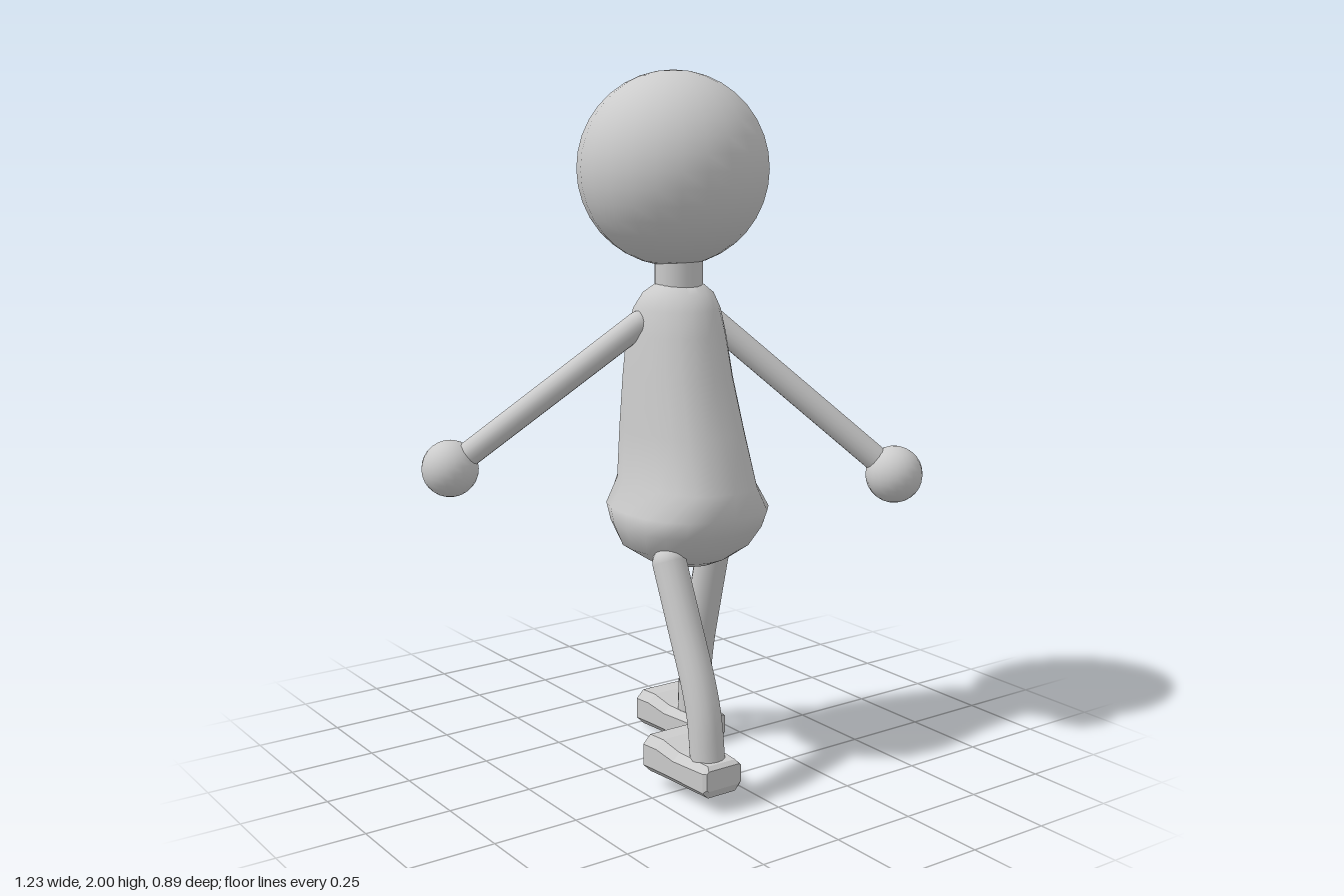
import * as THREE from 'three';

const grey = new THREE.MeshStandardMaterial({ color: 0xcccccc });
const flat = new THREE.MeshStandardMaterial({ color: 0xcccccc, flatShading: true });

// Skin closed rings (each counter-clockwise seen from the end they advance towards) with end caps
function loft(rings) {
  const n = rings[0].length;
  const pos = rings.flat(2);
  const idx = [];
  for (let r = 0; r < rings.length - 1; r++) {
    for (let i = 0; i < n; i++) {
      const a = r * n + i, b = r * n + (i + 1) % n;
      idx.push(a, b, b + n, a, b + n, a + n);
    }
  }
  const last = (rings.length - 1) * n;
  for (let i = 1; i < n - 1; i++) {
    idx.push(0, i + 1, i, last, last + i, last + i + 1);
  }
  const g = new THREE.BufferGeometry();
  g.setAttribute('position', new THREE.Float32BufferAttribute(pos, 3));
  g.setIndex(idx);
  g.computeVertexNormals();
  return g;
}

// Pear-shaped torso from rounded cross-sections
function torsoGeometry() {
  // y, centre x, half width, back z, front z, squareness
  const levels = [
    [0.608, 0.01, 0.07, -0.01, 0.14, 2],
    [0.63, 0.0, 0.13, -0.06, 0.19, 2],
    [0.67, -0.005, 0.185, -0.11, 0.245, 2.2],
    [0.73, -0.005, 0.207, -0.145, 0.29, 2.3],
    [0.78, -0.005, 0.212, -0.163, 0.31, 2.4],
    [0.85, -0.005, 0.165, -0.163, 0.3, 2.4],
    [1.0, -0.007, 0.15, -0.155, 0.25, 2.4],
    [1.15, -0.008, 0.137, -0.145, 0.205, 2.3],
    [1.27, -0.006, 0.128, -0.134, 0.175, 2.2],
    [1.34, -0.004, 0.12, -0.11, 0.153, 2],
    [1.385, -0.002, 0.1, -0.075, 0.125, 2],
    [1.41, 0, 0.07, -0.035, 0.085, 2],
  ];
  const sides = 20;
  return loft(levels.map(([y, cx, hw, back, front, p]) =>
    Array.from({ length: sides }, (_, i) => {
      const a = (i / sides) * Math.PI * 2;
      const s = (v) => Math.sign(v) * Math.abs(v) ** (2 / p);
      return [
        cx + hw * s(Math.sin(a)), y,
        (back + front) / 2 + ((front - back) / 2) * s(Math.cos(a)),
      ];
    })));
}

// Block shoe: chamfered section, wide heel, narrow toe, bevelled ends
function footGeometry() {
  // z, half width, bottom, top, chamfer
  const sections = [
    [-0.135, 0.068, 0.024, 0.09, 0.008],
    [-0.125, 0.09, 0, 0.11, 0.024],
    [-0.07, 0.084, 0, 0.11, 0.024],
    [0.0, 0.076, 0, 0.094, 0.022],
    [0.123, 0.064, 0, 0.092, 0.018],
    [0.135, 0.058, 0.024, 0.082, 0.006],
  ];
  return loft(sections.map(([z, w, b, t, c]) => [
    [w, b + c, z], [w, t - c, z], [w - c, t, z], [c - w, t, z],
    [-w, t - c, z], [-w, b + c, z], [c - w, b, z], [w - c, b, z],
  ]));
}

export function createModel() {
  const root = new THREE.Group();
  const add = (parent, name, geometry, position = [0, 0, 0], material = grey) => {
    const mesh = new THREE.Mesh(geometry, material);
    mesh.name = name;
    mesh.position.set(...position);
    parent.add(mesh);
    return mesh;
  };

  // Round-ended limb along a path
  const limb = (parent, name, points, radius) => {
    const curve = new THREE.CatmullRomCurve3(points.map((p) => new THREE.Vector3(...p)));
    add(parent, name, new THREE.TubeGeometry(curve, 16, radius, 16, false));
    for (const p of [points[0], points[points.length - 1]]) {
      add(parent, name + 'End', new THREE.SphereGeometry(radius, 16, 10), p);
    }
  };

  // Head, neck and body
  add(root, 'head', new THREE.SphereGeometry(0.271, 24, 18), [-0.005, 1.729, 0.005]);
  add(root, 'neck', new THREE.CylinderGeometry(0.068, 0.068, 0.16, 20), [-0.002, 1.46, 0.027]);
  add(root, 'torso', torsoGeometry());

  // Arms swung opposite to the legs
  const arms = [
    { side: 'left', shoulder: [0.11, 1.295, 0.045], hand: [0.53, 0.85, 0.36] },
    { side: 'right', shoulder: [-0.12, 1.3, 0.0], hand: [-0.535, 0.872, -0.363] },
  ];
  for (const { side, shoulder, hand } of arms) {
    const group = new THREE.Group();
    group.name = side + 'ArmGroup';
    limb(group, side + 'Arm', [shoulder, hand], 0.037);
    add(group, side + 'Hand', new THREE.SphereGeometry(0.083, 20, 14), hand);
    root.add(group);
  }

  // Walking legs: right one forward and lifted, left one back on the ground
  const legs = [
    {
      side: 'left', foot: [0.116, 0.005, -0.11],
      path: [[0.114, 0.62, 0.04], [0.114, 0.46, 0], [0.114, 0.31, -0.035], [0.114, 0.2, -0.05], [0.114, 0.07, -0.056]],
    },
    {
      side: 'right', foot: [-0.133, 0.045, 0.292],
      path: [[-0.138, 0.65, 0.175], [-0.138, 0.48, 0.25], [-0.138, 0.33, 0.315], [-0.138, 0.24, 0.342], [-0.138, 0.105, 0.36]],
    },
  ];
  for (const { side, foot, path } of legs) {
    const group = new THREE.Group();
    group.name = side + 'LegGroup';
    limb(group, side + 'Leg', path, 0.049);
    add(group, side + 'Foot', footGeometry(), foot, flat);
    root.add(group);
  }

  return root;
}
